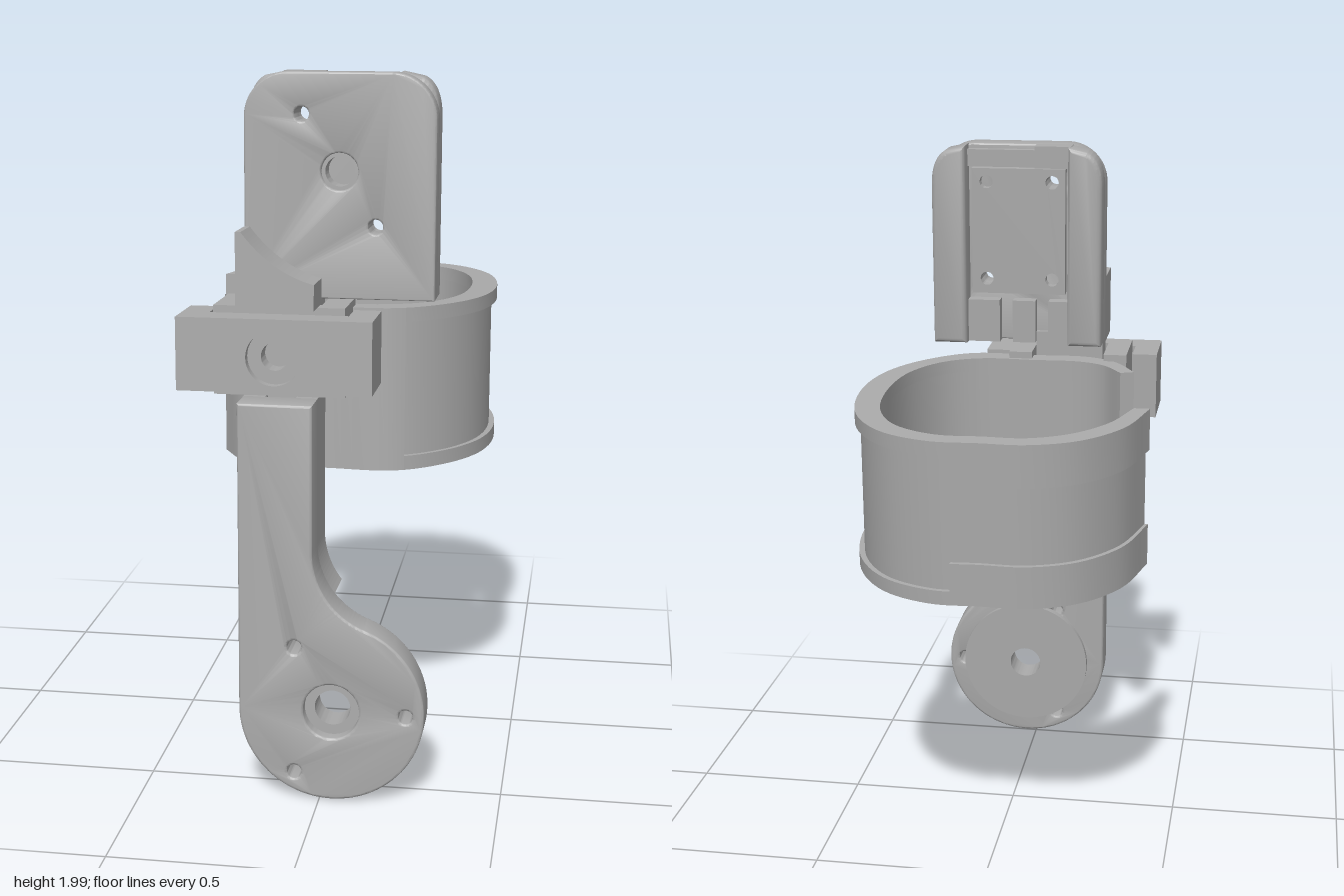
import * as THREE from 'three';
import { toCreasedNormals } from 'three/addons/utils/BufferGeometryUtils.js';

export function createModel() {
  const model = new THREE.Group();
  model.name = 'clampBracket';
  const body = new THREE.Group(); // everything leans back slightly
  body.name = 'leaningBody';
  body.rotation.x = -0.036;
  body.position.y = 0.02;
  model.add(body);

  const grey = new THREE.MeshStandardMaterial({ color: 0xaaaaaa });
  grey.name = 'grey';

  const add = (name, geo) => {
    const mesh = new THREE.Mesh(geo, grey);
    mesh.name = name;
    body.add(mesh);
    return mesh;
  };
  const box = (name, x0, x1, y0, y1, z0, z1) => {
    const geo = new THREE.BoxGeometry(x1 - x0, y1 - y0, z1 - z0);
    geo.translate((x0 + x1) / 2, (y0 + y1) / 2, (z0 + z1) / 2);
    return add(name, geo);
  };
  // Outline in x, y pushed from z0 to z1; holes are [x, y, radius]
  const plate = (name, shape, z0, z1, holes = [], bevel = 0) => {
    for (const [x, y, r] of holes) {
      shape.holes.push(new THREE.Path().absarc(x, y, r, 0, Math.PI * 2, true));
    }
    const geo = new THREE.ExtrudeGeometry(shape, {
      depth: z1 - z0 - 2 * bevel, curveSegments: 32, bevelEnabled: bevel > 0,
      bevelSize: bevel, bevelThickness: bevel, bevelOffset: -bevel, bevelSegments: 3,
    });
    geo.translate(0, 0, z0 + bevel);
    return add(name, toCreasedNormals(geo, 0.6));
  };
  const polygon = (pts) => new THREE.Shape(pts.map(([x, y]) => new THREE.Vector2(x, y)));
  const rect = (x0, x1, y0, y1) => polygon([[x0, y0], [x1, y0], [x1, y1], [x0, y1]]);
  const disc = (x, y, r) => new THREE.Shape().absarc(x, y, r, 0, Math.PI * 2, false);

  // Lower arm: straight bar flowing into a round hub
  const hub = [0.033, 0.268];
  const join = 1.205;
  const arm = new THREE.Shape();
  arm.moveTo(-0.225, 1.13);
  arm.lineTo(-0.225, hub[1]);
  arm.absarc(hub[0], hub[1], 0.258, Math.PI, Math.PI * 2 + join, false);
  arm.absarc(0.206, 0.72, 0.226, Math.PI + join, Math.PI, true);
  arm.lineTo(-0.02, 1.13);
  plate('arm', arm, 0.5, 0.605,
    [[...hub, 0.078], [-0.07, 0.45, 0.02], [-0.07, 0.085, 0.02], [0.24, 0.265, 0.02]], 0.007);
  plate('hubSeat', disc(...hub, 0.08), 0.5, 0.57, [[...hub, 0.05]]);
  plate('hubBackDisc', disc(...hub, 0.205), 0.482, 0.505, [[...hub, 0.05]]);

  // Two rails behind the bar, the inner one following the fillet
  box('outerRail', -0.225, -0.165, 0.58, 1.13, 0.38, 0.51);
  const rail = new THREE.Shape();
  rail.moveTo(-0.08, 1.13);
  rail.lineTo(-0.08, 0.58);
  rail.lineTo(0.029, 0.58);
  rail.absarc(0.206, 0.72, 0.226, Math.PI + 0.668, Math.PI, true);
  rail.lineTo(-0.02, 1.13);
  plate('innerRail', rail, 0.38, 0.51);
  box('armTongue', -0.225, -0.02, 1.12, 1.43, 0.385, 0.468);

  // Curved wedge above the clamp
  const wedge = new THREE.Shape();
  wedge.moveTo(-0.225, 1.385);
  wedge.lineTo(-0.015, 1.385);
  wedge.lineTo(-0.015, 1.455);
  wedge.quadraticCurveTo(-0.13, 1.485, -0.21, 1.59);
  wedge.lineTo(-0.225, 1.59);
  plate('wedge', wedge, 0.46, 0.605);

  // Clamp block with hooked ends, and the slider it holds
  const cx = -0.125;
  plate('clampBar', rect(-0.39, 0.14, 1.16, 1.36), 0.515, 0.602, [[cx, 1.255, 0.075]]);
  plate('clampScrewSeat', disc(cx, 1.255, 0.078), 0.515, 0.575, [[cx, 1.255, 0.038]]);
  box('sliderFront', cx - 0.18, cx + 0.18, 1.135, 1.38, 0.468, 0.515);
  for (const s of [-1, 1]) {
    const span = (a, b) => [cx + s * a, cx + s * b].sort((p, q) => p - q);
    box('clampHook', ...span(0.19, 0.265), 1.16, 1.36, 0.415, 0.515);
    box('sliderSide', ...span(0.11, 0.18), 1.135, 1.38, 0.32, 0.47);
  }

  // Upper housing: front slab, side walls and a recessed plate at the back
  const hx = 0.0325, hw = 0.2575, r = 0.12;
  const slab = new THREE.Shape();
  slab.moveTo(hx - hw, 1.4);
  slab.lineTo(hx + hw, 1.4);
  slab.lineTo(hx + hw, 2 - r);
  slab.absarc(hx + hw - r, 2 - r, r, 0, Math.PI / 2, false);
  slab.lineTo(hx - hw + r, 2);
  slab.absarc(hx - hw + r, 2 - r, r, Math.PI / 2, Math.PI, false);
  const through = [[-0.07, 1.89, 0.02], [0.13, 1.595, 0.02]];
  plate('housingFront', slab, 0.4, 0.48, [[hx, 1.74, 0.05], ...through], 0.005);
  plate('housingScrewSeat', disc(hx, 1.74, 0.052), 0.4, 0.465, [[hx, 1.74, 0.04]]);
  plate('housingBackPlate', rect(-0.11, 0.175, 1.55, 1.93), 0.37, 0.405,
    [...through, [0.13, 1.89, 0.02], [-0.07, 1.595, 0.02]]);
  for (const s of [-1, 1]) {
    const wall = new THREE.Shape();
    const inner = hx + s * 0.155, outer = hx + s * hw, w = 0.1025;
    wall.moveTo(inner, 1.4);
    wall.lineTo(outer, 1.4);
    wall.lineTo(outer, 2 - r);
    wall.quadraticCurveTo(outer, 1.965, outer - s * w * 0.45, 1.988);
    wall.lineTo(inner, 2);
    plate('housingSideWall', wall, 0.322, 0.42, [], 0.015);
  }
  box('housingTopLedge', -0.13, -0.02, 1.935, 2, 0.35, 0.41);
  box('housingTopStep', -0.02, 0.195, 1.935, 1.985, 0.375, 0.41);
  for (const [x0, x1] of [[-0.13, -0.06], [-0.02, 0.05], [0.09, 0.195]]) {
    box('housingBottomRib', x0, x1, 1.4, 1.53, 0.36, 0.41);
  }

  // Open cuff: paired inner and outer curves in x, z
  const curve = (pts) => new THREE.CatmullRomCurve3(pts.map(([x, z]) => new THREE.Vector3(x, z, 0)));
  const innerCurve = curve([[-0.375, -0.175], [-0.32, -0.33], [-0.23, -0.44], [-0.12, -0.495],
    [0, -0.495], [0.12, -0.495], [0.24, -0.43], [0.315, -0.3], [0.345, -0.09], [0.32, 0.12],
    [0.24, 0.25], [0.13, 0.305], [-0.02, 0.305], [-0.16, 0.305], [-0.24, 0.27], [-0.3, 0.19]]);
  const outerCurve = curve([[-0.42, -0.175], [-0.365, -0.37], [-0.26, -0.5], [-0.13, -0.555],
    [0, -0.555], [0.13, -0.555], [0.27, -0.49], [0.375, -0.34], [0.42, -0.09], [0.39, 0.12],
    [0.3, 0.27], [0.17, 0.365], [-0.02, 0.365], [-0.18, 0.365], [-0.27, 0.315], [-0.34, 0.205]]);
  // One band of the cuff between curve stations i0 and i1
  const cuff = (name, i0, i1, y0, y1, thickness = 1) => {
    const n = Math.ceil((i1 - i0) * 6);
    const inside = [], outside = [];
    for (let k = 0; k <= n; k++) {
      const t = (i0 + ((i1 - i0) * k) / n) / 15;
      const a = innerCurve.getPoint(t);
      const b = a.clone().lerp(outerCurve.getPoint(t), thickness);
      inside.push([a.x, a.y]);
      outside.push([b.x, b.y]);
    }
    const geo = new THREE.ExtrudeGeometry(polygon([...inside, ...outside.reverse()]),
      { depth: y1 - y0, bevelEnabled: false });
    geo.rotateX(Math.PI / 2);
    geo.translate(0, y1, 0);
    add(name, toCreasedNormals(geo, 0.6));
  };
  const low = 0.9, high = 1.36, step = 4.6, recess = 10.8;
  cuff('cuffFront', recess, 15, low, high);
  cuff('cuffPanel', step, recess, low + 0.04, high - 0.04, 0.78);
  cuff('cuffLowerRim', step, recess, low, low + 0.04);
  cuff('cuffUpperRim', step, recess, high - 0.04, high);
  cuff('cuffTailPanel', 0, step, low + 0.12, high - 0.12, 0.78);
  cuff('cuffTailLowerRim', 0, step, low, low + 0.12);
  cuff('cuffTailUpperRim', 0, step, high - 0.12, high);

  return model;
}
